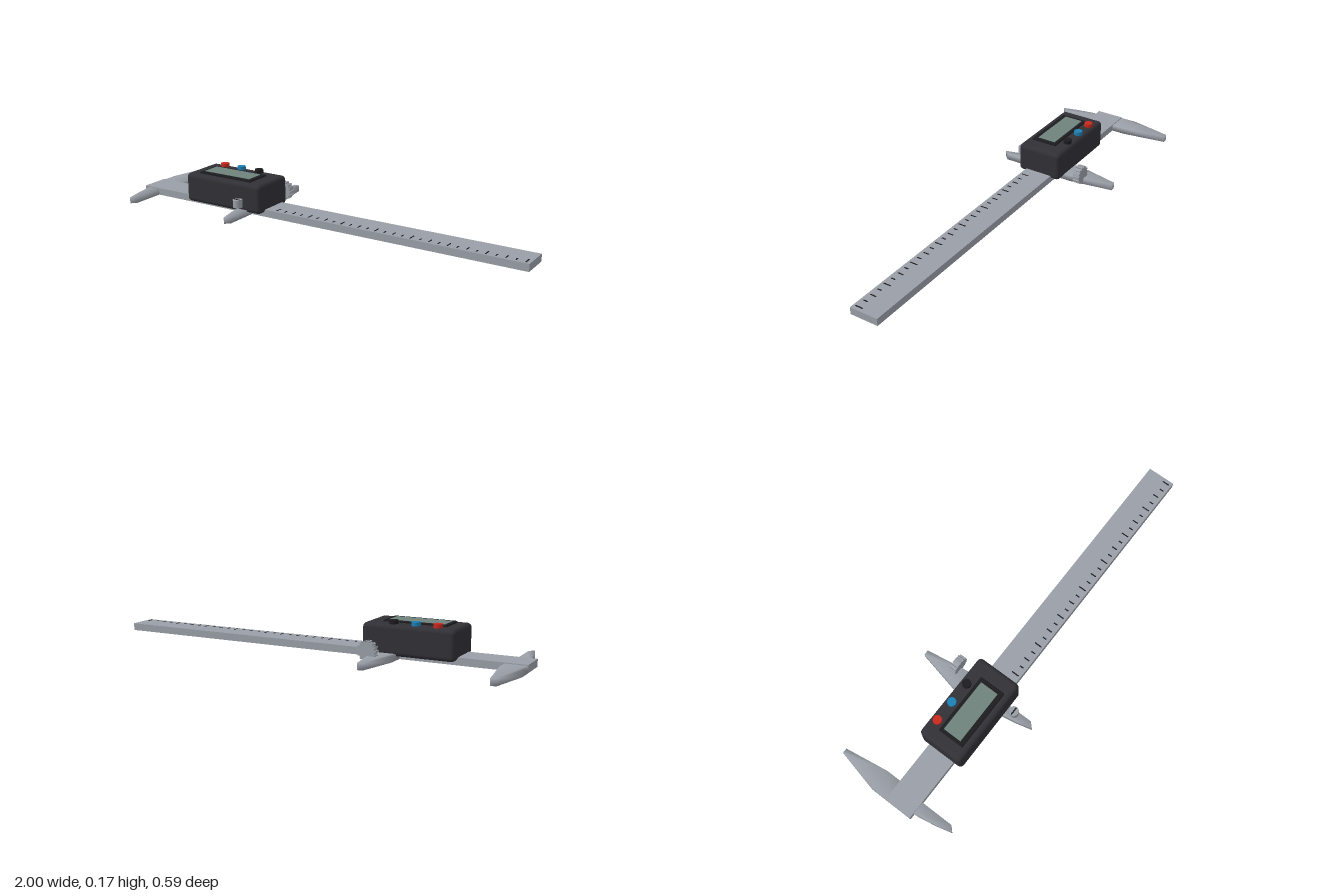
import * as THREE from 'three';
import { mergeVertices } from 'three/addons/utils/BufferGeometryUtils.js';
import { RoundedBoxGeometry } from 'three/addons/geometries/RoundedBoxGeometry.js';

const mat = (name, color) => new THREE.MeshStandardMaterial({ name, color });

export function createModel() {
  const root = new THREE.Group();
  root.name = 'digitalCaliper';
  const steel = mat('steel', 0x9a9fa7);
  const plastic = mat('dark plastic', 0x303036);
  const black = mat('black', 0x1c1c20);
  const glass = mat('display glass', 0x6e827b);
  const red = mat('red', 0xc8281c);
  const blue = mat('blue', 0x1c80b4);

  const add = (name, geo, material, x = 0, y = 0, z = 0, parent = root) => {
    const m = new THREE.Mesh(geo, material);
    m.name = name;
    m.position.set(x, y, z);
    parent.add(m);
    return m;
  };
  // box given by its limits on each axis
  const box = (name, material, x0, x1, y0, y1, z0, z1, parent = root) =>
    add(name, new THREE.BoxGeometry(x1 - x0, y1 - y0, z1 - z0), material,
      (x0 + x1) / 2, (y0 + y1) / 2, (z0 + z1) / 2, parent);

  // flat plate from an (x, z) outline, with softly blended normals
  const plate = (pts, height) => {
    const shape = new THREE.Shape(pts.map(([x, z]) => new THREE.Vector2(x, -z)));
    let g = new THREE.ExtrudeGeometry(shape, { depth: height, bevelEnabled: false });
    g.rotateX(-Math.PI / 2);
    g.deleteAttribute('uv');
    g.deleteAttribute('normal');
    g = mergeVertices(g, 1e-4);
    g.computeVertexNormals();
    return g;
  };

  // beam
  box('beam', steel, -1, 1, 0, 0.034, -0.02, 0.115);

  // fixed and sliding jaws share the same outlines
  const insideJaw = [[-1, 0.01], [-0.9, 0.01], [-0.9, -0.09], [-0.932, -0.298], [-0.956, -0.298], [-1, -0.1]];
  const outsideJaw = [[-0.973, 0.09], [-0.973, 0.13], [-0.957, 0.22], [-0.938, 0.295], [-0.915, 0.272], [-0.915, 0.09]];
  [['fixed', 0], ['sliding', 0.565]].forEach(([label, dx]) => {
    add(label + 'InsideJaw', plate(insideJaw, 0.03), steel, dx);
    add(label + 'OutsideJaw', plate(outsideJaw, 0.03), steel, dx);
  });

  // scale marks on the beam
  const marks = new THREE.Group();
  marks.name = 'scaleMarks';
  root.add(marks);
  for (let i = 0; i < 29; i++) {
    const x = 0.98 - i * 0.0428;
    const [z0, z1] = i % 4 === 0 ? [0.068, 0.104] : i % 2 === 0 ? [0.072, 0.1] : [0.08, 0.1];
    box('mark', black, x - 0.0028, x + 0.0028, 0.033, 0.0352, z0, z1, marks);
  }

  // slider housing with display
  add('housing', new RoundedBoxGeometry(0.425, 0.138, 0.221, 4, 0.02), plastic, -0.4875, 0.086, 0.0475);
  add('displayBezel', new RoundedBoxGeometry(0.295, 0.014, 0.128, 2, 0.004), black, -0.495, 0.155, 0.064);
  box('displayGlass', glass, -0.627, -0.368, 0.158, 0.1635, 0.016, 0.106);

  // buttons
  [[-0.613, red], [-0.514, blue], [-0.411, black]].forEach(([x, m]) =>
    add('button', new THREE.CylinderGeometry(0.02, 0.02, 0.022, 24), m, x, 0.161, -0.03));

  // thumb roller with raised ribs
  const roller = new THREE.Group();
  roller.name = 'thumbRoller';
  roller.position.set(-0.342, 0.05, -0.142);
  root.add(roller);
  add('rollerCore', new THREE.CylinderGeometry(0.038, 0.038, 0.033, 24), steel, 0, 0, 0, roller)
    .rotation.x = Math.PI / 2;
  for (let i = 0; i < 14; i++) {
    const a = (i / 14) * Math.PI * 2;
    add('rollerRib', new THREE.BoxGeometry(0.012, 0.009, 0.033), steel,
      Math.cos(a) * 0.038, Math.sin(a) * 0.038, 0, roller).rotation.z = a;
  }

  // locking screw with slot
  add('lockScrew', new THREE.CylinderGeometry(0.022, 0.022, 0.035, 24), steel, -0.37, 0.0695, 0.194);
  box('screwSlot', black, -0.389, -0.351, 0.085, 0.088, 0.191, 0.197);

  return root;
}
